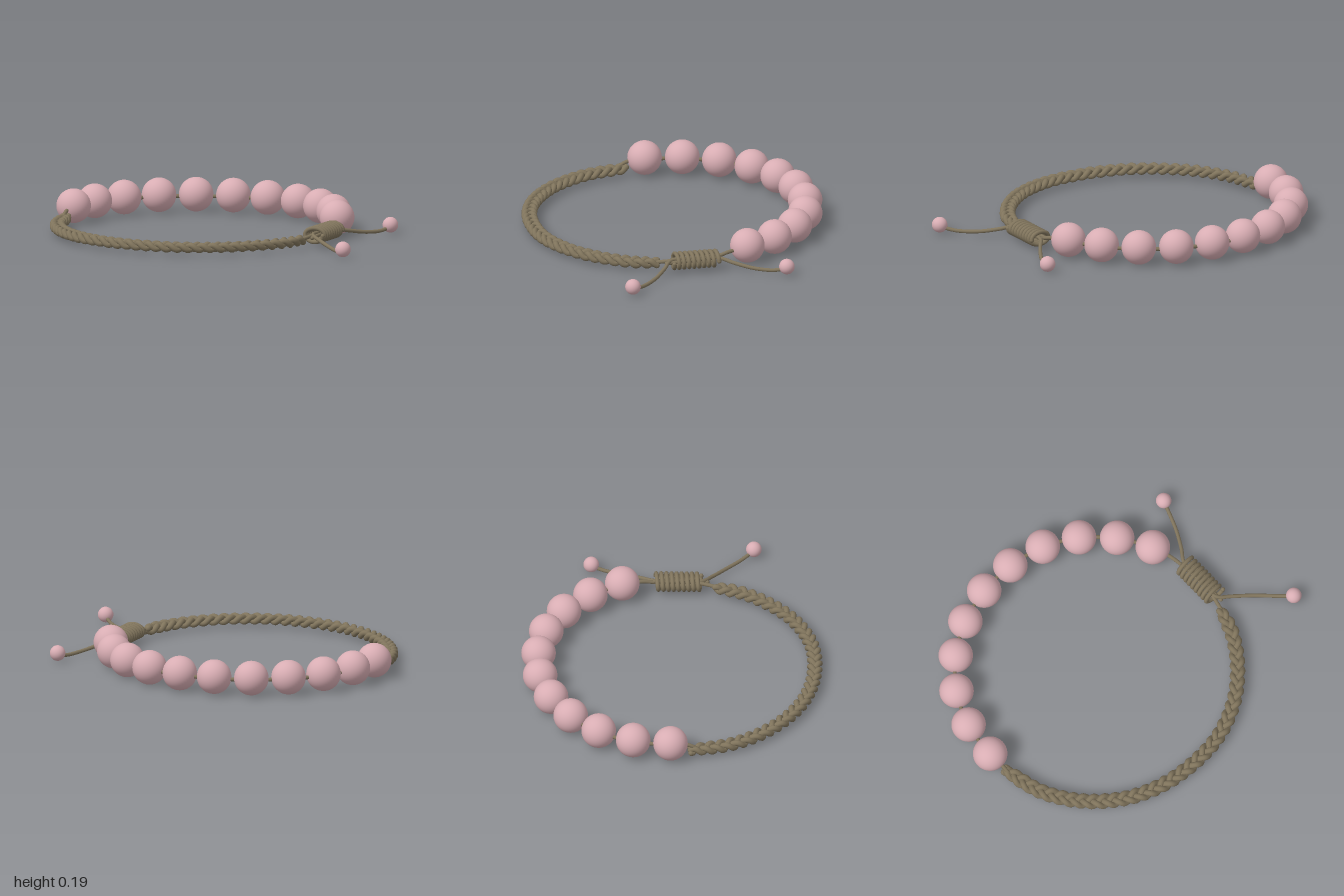
import * as THREE from 'three';

export function createModel() {
  const model = new THREE.Group();
  const pink = new THREE.MeshStandardMaterial({ color: 0xd8adb3 });
  pink.name = 'dusty pink';
  const khaki = new THREE.MeshStandardMaterial({ color: 0x80745c });
  khaki.name = 'khaki cord';

  const add = (name, geometry, material, parent = model) => {
    const mesh = new THREE.Mesh(geometry, material);
    mesh.name = name;
    parent.add(mesh);
    return mesh;
  };
  const group = (name) => {
    const g = new THREE.Group();
    g.name = name;
    model.add(g);
    return g;
  };
  const spline = (points) =>
    new THREE.CatmullRomCurve3(points.map((p) => new THREE.Vector3(...p)));

  // A round cord with rounded ends
  const cord = (name, curve, radius, segments, parent = model) => {
    add(name, new THREE.TubeGeometry(curve, segments, radius, 10), khaki, parent);
    for (const t of [0, 1]) {
      add(name + 'End', new THREE.SphereGeometry(radius, 10, 8), khaki, parent)
        .position.copy(curve.getPoint(t));
    }
  };

  // Large beads around the back
  const beads = group('beads');
  const beadSpots = [
    [-0.905, -0.005], [-0.877, -0.21], [-0.792, -0.4], [-0.655, -0.555],
    [-0.482, -0.665], [-0.285, -0.727], [-0.08, -0.738], [0.125, -0.698],
    [0.308, -0.603], [0.46, -0.46], [0.567, -0.287],
  ];
  for (const [x, z] of beadSpots) {
    add('bead', new THREE.SphereGeometry(0.095, 40, 28), pink, beads).position.set(x, 0.1, z);
  }

  // Cord threaded through the beads, dropping to the braid and into the knot
  cord('beadCord', spline([
    [-0.897, 0.055, 0.15], [-0.9, 0.085, 0.095],
    ...beadSpots.map(([x, z]) => [x, 0.09, z]),
    [0.605, 0.085, -0.18], [0.622, 0.068, -0.1], [0.628, 0.065, 0.1],
    [0.612, 0.055, 0.2], [0.6, 0.05, 0.25],
  ]), 0.0105, 260);

  // Three-strand braid around the front
  const braid = group('braid');
  const path = spline([
    [-0.897, 0.048, 0.105], [-0.835, 0.048, 0.335], [-0.7, 0.048, 0.535],
    [-0.51, 0.048, 0.682], [-0.31, 0.048, 0.757], [-0.1, 0.048, 0.777],
    [0.1, 0.048, 0.752], [0.3, 0.048, 0.66], [0.455, 0.048, 0.52],
    [0.56, 0.048, 0.36], [0.603, 0.048, 0.225],
  ]);
  path.arcLengthDivisions = 600;
  const turns = 12;
  for (let strand = 0; strand < 3; strand++) {
    const points = [];
    const count = 300;
    for (let i = 0; i <= count; i++) {
      const u = i / count;
      const p = path.getPointAt(u);
      const dir = path.getTangentAt(u);
      const a = Math.PI * 2 * (u * turns + strand / 3);
      // the plait narrows at both ends
      const width = 0.5 + 0.5 * Math.min(1, u * 25, (1 - u) * 25);
      const side = 0.027 * width * Math.sin(a);
      points.push([p.x - dir.z * side, p.y + 0.0125 * Math.sin(2 * a), p.z + dir.x * side]);
    }
    cord('braidStrand', spline(points), 0.0165, 600, braid);
  }

  // Sliding knot: an oval coil wrapped around the cords
  const coil = [];
  const wraps = 9;
  for (let i = 0; i <= wraps * 20; i++) {
    const a = (i / 20) * Math.PI * 2;
    coil.push([
      0.635 + 0.057 * Math.cos(a),
      0.064 + 0.037 * Math.sin(a),
      -0.105 + 0.25 * (i / (wraps * 20)),
    ]);
  }
  cord('knotCoil', spline(coil), 0.012, 540);

  // Loose tails leaving the knot, each finished with a small bead
  cord('backTail', spline([
    [0.645, 0.055, 0.18], [0.64, 0.06, 0.05], [0.64, 0.065, -0.11],
    [0.69, 0.048, -0.19], [0.745, 0.03, -0.29], [0.785, 0.026, -0.39],
    [0.807, 0.04, -0.46],
  ]), 0.0105, 80);
  cord('frontTail', spline([
    [0.62, 0.075, -0.11], [0.63, 0.07, 0.04], [0.635, 0.068, 0.15],
    [0.71, 0.046, 0.207], [0.8, 0.028, 0.275], [0.89, 0.024, 0.36],
    [0.957, 0.04, 0.43],
  ]), 0.0105, 80);
  for (const [x, z] of [[0.807, -0.46], [0.957, 0.43]]) {
    add('tailBead', new THREE.SphereGeometry(0.043, 28, 20), pink).position.set(x, 0.05, z);
  }

  return model;
}
